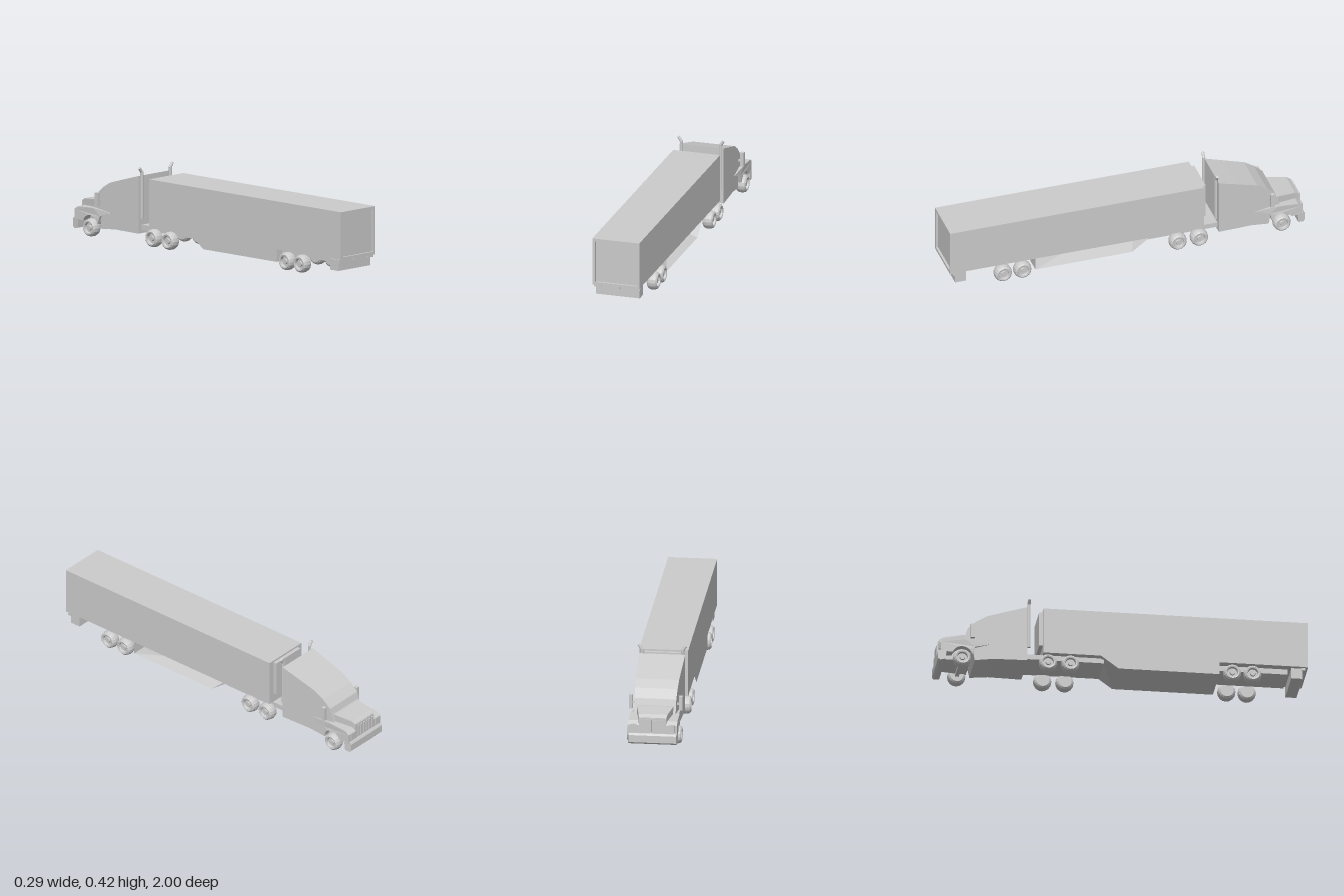
import * as THREE from 'three';

const grey = new THREE.MeshStandardMaterial({ color: 0xcccccc, flatShading: true });
const thin = new THREE.MeshStandardMaterial({ color: 0xcccccc, flatShading: true, side: THREE.DoubleSide });

export function createModel() {
  const model = new THREE.Group();
  const add = (name, geo, mat = grey) => {
    const mesh = new THREE.Mesh(geo, mat);
    mesh.name = name;
    model.add(mesh);
    return mesh;
  };
  // Box given by its limits on each axis
  const box = (name, x0, x1, y0, y1, z0, z1) => add(name,
    new THREE.BoxGeometry(x1 - x0, y1 - y0, z1 - z0)
      .translate((x0 + x1) / 2, (y0 + y1) / 2, (z0 + z1) / 2));
  // Side profile in (z, y), extruded from x0 to x1
  const slab = (shape, x0, x1) =>
    new THREE.ExtrudeGeometry(shape, { depth: x1 - x0, bevelEnabled: false, curveSegments: 8 })
      .rotateY(-Math.PI / 2).translate(x1, 0, 0);
  const outline = pts => new THREE.Shape(pts.map(p => new THREE.Vector2(...p)));
  // Scale x along z: factor a at z0, factor b at z1
  const taper = (geo, z0, a, z1, b) => {
    const p = geo.attributes.position;
    for (let i = 0; i < p.count; i++) {
      const t = THREE.MathUtils.clamp((p.getZ(i) - z0) / (z1 - z0), 0, 1);
      p.setX(i, p.getX(i) * (a + (b - a) * t));
    }
    geo.computeVertexNormals();
    return geo;
  };
  const surface = (name, tris) => {
    const g = new THREE.BufferGeometry();
    g.setAttribute('position', new THREE.Float32BufferAttribute(tris.flat(2), 3));
    g.computeVertexNormals();
    return add(name, g, thin);
  };

  // Trailer body, with a framed recessed door at the rear
  const W = 0.132;
  box('trailerBody', -W, W, 0.11, 0.37, -0.43, 0.988);
  const frame = outline([[-W, 0.107], [W, 0.107], [W, 0.37], [-W, 0.37]]);
  frame.holes.push(new THREE.Path([[-0.116, 0.123], [-0.116, 0.355], [0.116, 0.355], [0.116, 0.123]]
    .map(p => new THREE.Vector2(...p))));
  add('rearDoorFrame', new THREE.ExtrudeGeometry(frame, { depth: 0.012, bevelEnabled: false }).translate(0, 0, 0.988));
  box('trailerFrontPanel', -0.1, 0.1, 0.165, 0.36, -0.45, -0.43);
  box('rearBumper', -0.12, 0.125, 0.045, 0.105, 0.91, 0.97);
  for (const [x, w] of [[-0.108, 0.019], [0.003, 0.014], [0.112, 0.019]])
    box('rearLight', x - w, x + w, 0.092, 0.107, 0.965, 0.985);

  // Underframes
  box('rearUnderframe', -0.088, 0.088, 0.08, 0.112, 0.5, 0.895);
  box('tractorChassis', -0.1, 0.1, 0.08, 0.108, -0.53, -0.1);

  // Belly fairing: flush panel on one side, folded floor open on the other
  add('bellySidePanel', new THREE.ShapeGeometry(outline(
    [[0.52, 0.11], [0.52, 0.04], [-0.025, 0.04], [-0.12, 0.11]]))
    .rotateY(-Math.PI / 2).translate(-W, 0, 0), thin);
  const rearR = [-W, 0.04, 0.52], rearL = [W, 0.04, 0.52], frontL = [W, 0.04, -0.025];
  const topR = [-W, 0.11, -0.12], topL = [W, 0.11, -0.12];
  surface('bellyFloor', [[rearR, topR, rearL], [rearL, topR, frontL], [frontL, topR, topL]]);
  const wallR = [-W, 0.11, 0.52], wallL = [W, 0.11, 0.52];
  surface('bellyRearWall', [[rearR, rearL, wallL], [rearR, wallL, wallR]]);

  // Cab with sloping roof and windscreen, narrowing forwards
  add('cab', taper(slab(outline([[-0.516, 0.062], [-0.516, 0.376], [-0.62, 0.346], [-0.735, 0.312],
    [-0.79, 0.28], [-0.837, 0.238], [-0.865, 0.155], [-0.815, 0.13], [-0.8, 0.05], [-0.7, 0.062]]), -0.125, 0.125),
  -0.516, 1, -0.865, 0.89));

  // Bonnet and grille
  add('bonnet', taper(slab(outline([[-0.82, 0.06], [-0.82, 0.2], [-0.86, 0.203], [-0.96, 0.194],
    [-0.982, 0.182], [-0.982, 0.06]]), -0.1, 0.1), -0.85, 1, -0.98, 0.74));
  box('grilleSurround', -0.072, 0.072, 0.1, 0.18, -0.987, -0.975);
  for (let i = 0; i < 6; i++) {
    const x = -0.055 + i * 0.022;
    box('grilleBar', x - 0.005, x + 0.005, 0.105, 0.172, -0.994, -0.985);
  }
  add('frontBumper', taper(slab(outline([[-0.96, 0.04], [-0.955, 0.092], [-0.993, 0.095], [-1, 0.085],
    [-1, 0.045], [-0.99, 0.035]]), -0.135, 0.135), -0.955, 1, -1, 0.95));
  box('frontAxle', -0.1, 0.1, 0.042, 0.062, -0.88, -0.86);

  // Lathed wheel with rounded tyre, recessed rim and hub
  const wheel = new THREE.LatheGeometry([[0, -0.028], [0.036, -0.028], [0.045, -0.021], [0.049, -0.008],
    [0.049, 0.008], [0.045, 0.022], [0.037, 0.029], [0.029, 0.027], [0.026, 0.014], [0.015, 0.014],
    [0.013, 0.022], [0, 0.022]].map(p => new THREE.Vector2(...p)), 16).rotateZ(-Math.PI / 2);

  for (const s of [1, -1]) {
    const span = (a, b) => s > 0 ? [a, b] : [-b, -a];
    for (const z of [0.7, 0.59, -0.285, -0.405, -0.87]) {
      const m = add('wheel', wheel);
      m.position.set(s * 0.118, 0.052, z);
      if (s < 0) m.rotation.y = Math.PI;
    }
    // Wing with wheel arch and a pointed rear flare
    const wing = outline([[-0.72, 0.145], [-0.85, 0.162], [-0.96, 0.157], [-0.985, 0.14],
      [-0.985, 0.085], [-0.921, 0.085]]);
    wing.absarc(-0.87, 0.065, 0.055, Math.PI - 0.37, 0.2, true);
    wing.lineTo(-0.8, 0.122);
    add('wing', taper(slab(wing, ...span(0.065, 0.132)), -0.83, 1, -0.72, 0.9));
    box('headlight', ...span(0.086, 0.118), 0.105, 0.145, -0.992, -0.98);

    // Mirror and its arm
    box('mirror', ...span(0.125, 0.145), 0.172, 0.25, -0.825, -0.803);
    box('mirrorArm', ...span(0.105, 0.13), 0.2, 0.21, -0.815, -0.805);

    // Exhaust stack with angled tip
    add('exhaustStack', new THREE.CylinderGeometry(0.009, 0.009, 0.255, 8).translate(s * 0.11, 0.2725, -0.506));
    const tip = add('exhaustTip', new THREE.CylinderGeometry(0.008, 0.009, 0.034, 8));
    tip.position.set(s * 0.117, 0.407, -0.506);
    tip.rotation.z = -s * 0.6;
  }
  return model;
}
